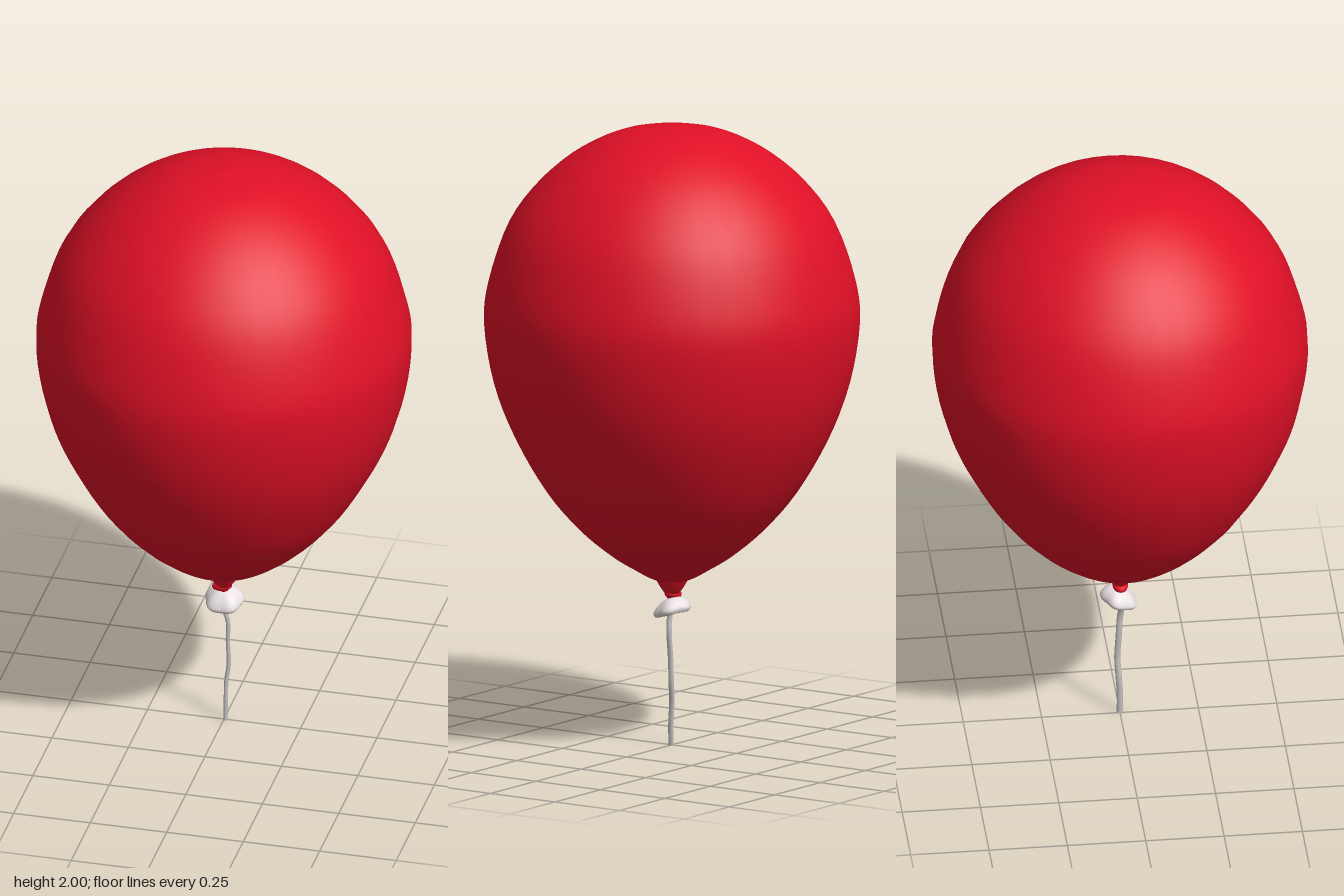
import * as THREE from 'three';

const paint = (name, color, side = THREE.FrontSide) => {
  const m = new THREE.MeshStandardMaterial({ color, side });
  m.name = name;
  return m;
};

// Smooth lathe through a few [radius, height] points, listed bottom to top
function lathe(points, steps, segments) {
  const curve = new THREE.SplineCurve(points.map(([r, y]) => new THREE.Vector2(r, y)));
  const profile = curve.getPoints(steps).map(p => new THREE.Vector2(Math.max(p.x, 0), p.y));
  return new THREE.LatheGeometry(profile, segments);
}

// Flared mouth of the balloon: gently pleated, its front rim hanging lower
function skirtGeometry(size) {
  const g = lathe([[0.008, 0.478], [0.03, 0.472], [0.05, 0.455], [0.06, 0.436], [0.055, 0.424]].reverse(), 14, 40);
  const p = g.attributes.position;
  for (let i = 0; i < p.count; i++) {
    const x = p.getX(i), z = p.getZ(i), a = Math.atan2(x, z);
    const r = Math.hypot(x, z) / 0.06;
    const k = size * (1 - 0.06 * r * Math.cos(5 * a));
    p.setXYZ(i, x * k * 1.04, p.getY(i) - z * 0.25, z * k * 0.95 - 0.004);
  }
  g.computeVertexNormals();
  return g;
}

export function createModel() {
  const group = new THREE.Group();
  const red = paint('balloon red', 0xe01026, THREE.DoubleSide);
  const white = paint('mouth white', 0xe8e0e0);
  const grey = paint('string grey', 0xc4c0c0, THREE.DoubleSide);

  const add = (name, geometry, material) => {
    const mesh = new THREE.Mesh(geometry, material);
    mesh.name = name;
    group.add(mesh);
    return mesh;
  };

  // Inflated body
  add('body', lathe([
    [0, 0.53], [0.06, 0.537], [0.125, 0.572], [0.2, 0.62], [0.296, 0.702], [0.4, 0.825],
    [0.5, 0.998], [0.565, 1.17], [0.596, 1.36], [0.582, 1.5], [0.52, 1.68], [0.42, 1.816],
    [0.3, 1.914], [0.16, 1.978], [0, 2],
  ], 56, 40), red);

  // Pinched neck and the knot below it
  add('neck', lathe([[0.012, 0.465], [0.02, 0.485], [0.036, 0.508], [0.053, 0.537]], 10, 20), red);
  const knot = add('knot', new THREE.TorusGeometry(0.022, 0.011, 10, 20), red);
  knot.position.set(-0.006, 0.487, 0);
  knot.rotation.set(Math.PI / 2, 0.15, 0);
  knot.scale.y = 0.75;

  // Mouth: white outside, red lining
  add('mouth', skirtGeometry(1), white);
  const lining = add('mouthLining', skirtGeometry(0.97), red);
  lining.position.y = -0.001;

  // Wavy, slightly flattened string
  const flat = 0.7;
  const path = new THREE.CatmullRomCurve3([
    [-0.002, 0.46, 0.004], [0.002, 0.41, 0.008], [0.013, 0.36, 0.002], [0.012, 0.28, -0.003],
    [0.014, 0.2, -0.007], [0.007, 0.14, -0.004], [0.006, 0.07, 0], [0.005, 0, 0],
  ].map(([x, y, z]) => new THREE.Vector3(x / flat, y, z)));
  const string = add('string', new THREE.TubeGeometry(path, 32, 0.01, 8), grey);
  string.scale.x = flat;
  const tip = add('stringEnd', new THREE.CircleGeometry(0.01, 8), grey);
  tip.rotation.x = Math.PI / 2;
  tip.position.set(0.005, 0, 0);
  tip.scale.x = flat;

  return group;
}
